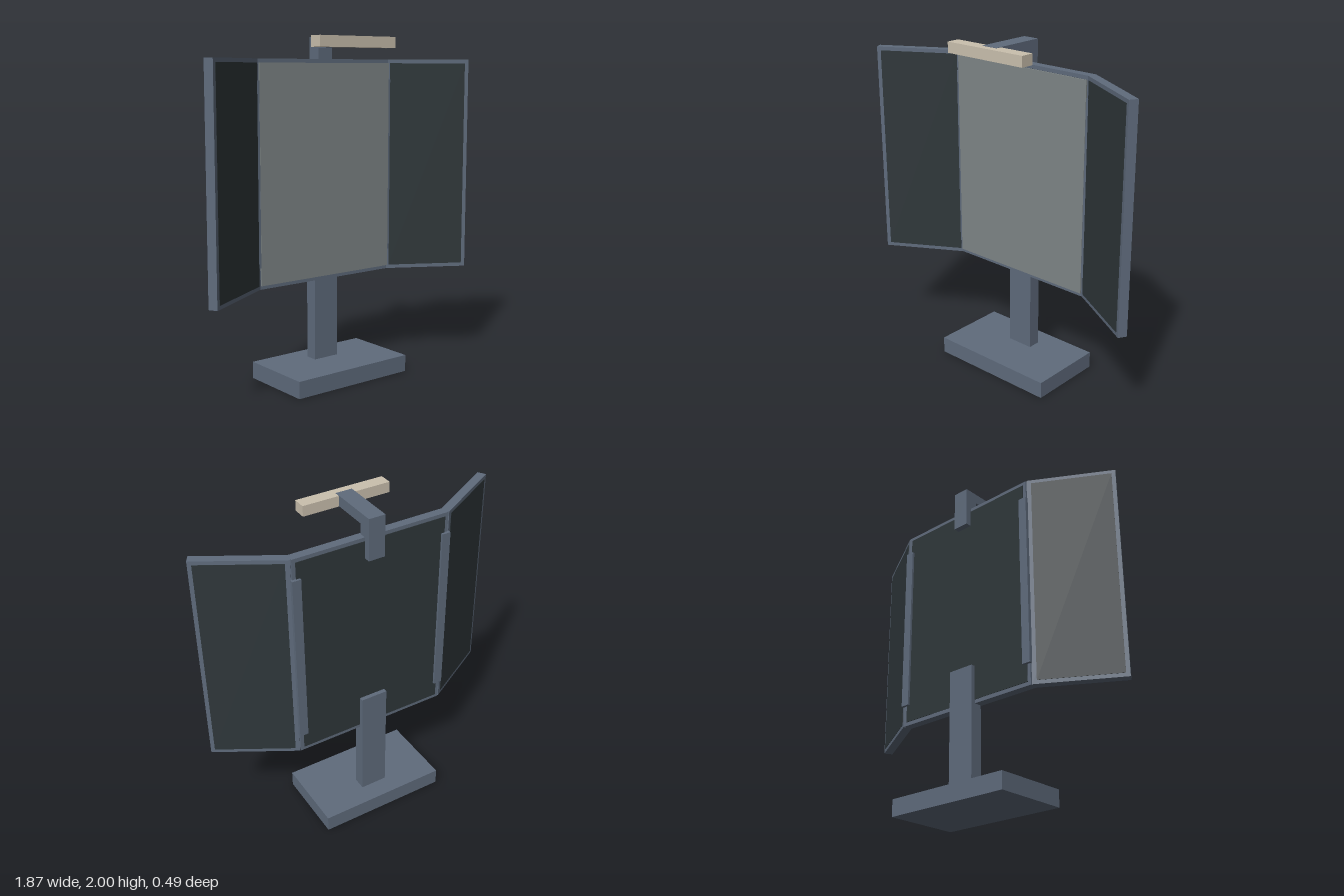
import * as THREE from 'three';

const frameMat = new THREE.MeshStandardMaterial({ color: 0x5f6b7c });
frameMat.name = 'slate blue frame';
const darkMat = new THREE.MeshStandardMaterial({ color: 0x2f373a });
darkMat.name = 'charcoal panel';
const screenMat = new THREE.MeshStandardMaterial({ color: 0x7e8586 });
screenMat.name = 'grey mirror';
const lightMat = new THREE.MeshStandardMaterial({ color: 0xcac0ae });
lightMat.name = 'beige lamp';

// Box given by its limits on each axis
function box(parent, name, mat, [x0, x1], [y0, y1], [z0, z1]) {
  const mesh = new THREE.Mesh(new THREE.BoxGeometry(x1 - x0, y1 - y0, z1 - z0), mat);
  mesh.position.set((x0 + x1) / 2, (y0 + y1) / 2, (z0 + z1) / 2);
  mesh.name = name;
  parent.add(mesh);
  return mesh;
}

export function createModel() {
  const model = new THREE.Group();
  model.name = 'foldingMirror';
  const frameY = [0.585, 1.875];
  const panelY = [0.607, 1.853];

  // Stand
  box(model, 'base', frameMat, [-0.4, 0.4], [0, 0.1], [-0.245, 0.22]);
  box(model, 'standPost', frameMat, [-0.083, 0.083], [0.1, 0.81], [-0.127, -0.05]);

  // Centre panel
  box(model, 'centreFrame', frameMat, [-0.483, 0.483], frameY, [-0.098, -0.045]);
  box(model, 'centreMirror', screenMat, [-0.472, 0.472], panelY, [-0.043, -0.034]);
  box(model, 'mirrorBacking', darkMat, [-0.468, 0.468], panelY, [-0.046, -0.043]);
  box(model, 'centreBack', darkMat, [-0.462, 0.462], panelY, [-0.101, -0.097]);

  // Side wings, folded 30 degrees forward, with their hinge bars
  for (const s of [1, -1]) {
    const side = s > 0 ? 'left' : 'right';
    const span = (a, b) => (s > 0 ? [a, b] : [-b, -a]);
    box(model, side + 'HingeBar', frameMat, span(0.44, 0.493), [0.71, 1.755], [-0.115, -0.036]);

    const wing = new THREE.Group();
    wing.name = side + 'Wing';
    wing.position.set(s * 0.48, 0, -0.072);
    wing.rotation.y = -s * Math.PI / 6;
    box(wing, side + 'WingFrame', frameMat, span(-0.004, 0.513), frameY, [-0.026, 0.026]);
    box(wing, side + 'WingFront', darkMat, span(0.022, 0.49), panelY, [0.025, 0.028]);
    box(wing, side + 'WingBack', darkMat, span(0.022, 0.49), panelY, [-0.028, -0.025]);
    model.add(wing);
  }

  // Lamp on a bent arm
  box(model, 'lampPost', frameMat, [-0.05, 0.05], [1.75, 1.937], [-0.138, -0.055]);
  box(model, 'lampArm', frameMat, [-0.05, 0.05], [1.937, 2], [-0.138, 0.2]);
  box(model, 'lampBar', lightMat, [-0.27, 0.27], [1.936, 1.998], [0.165, 0.245]);

  return model;
}
